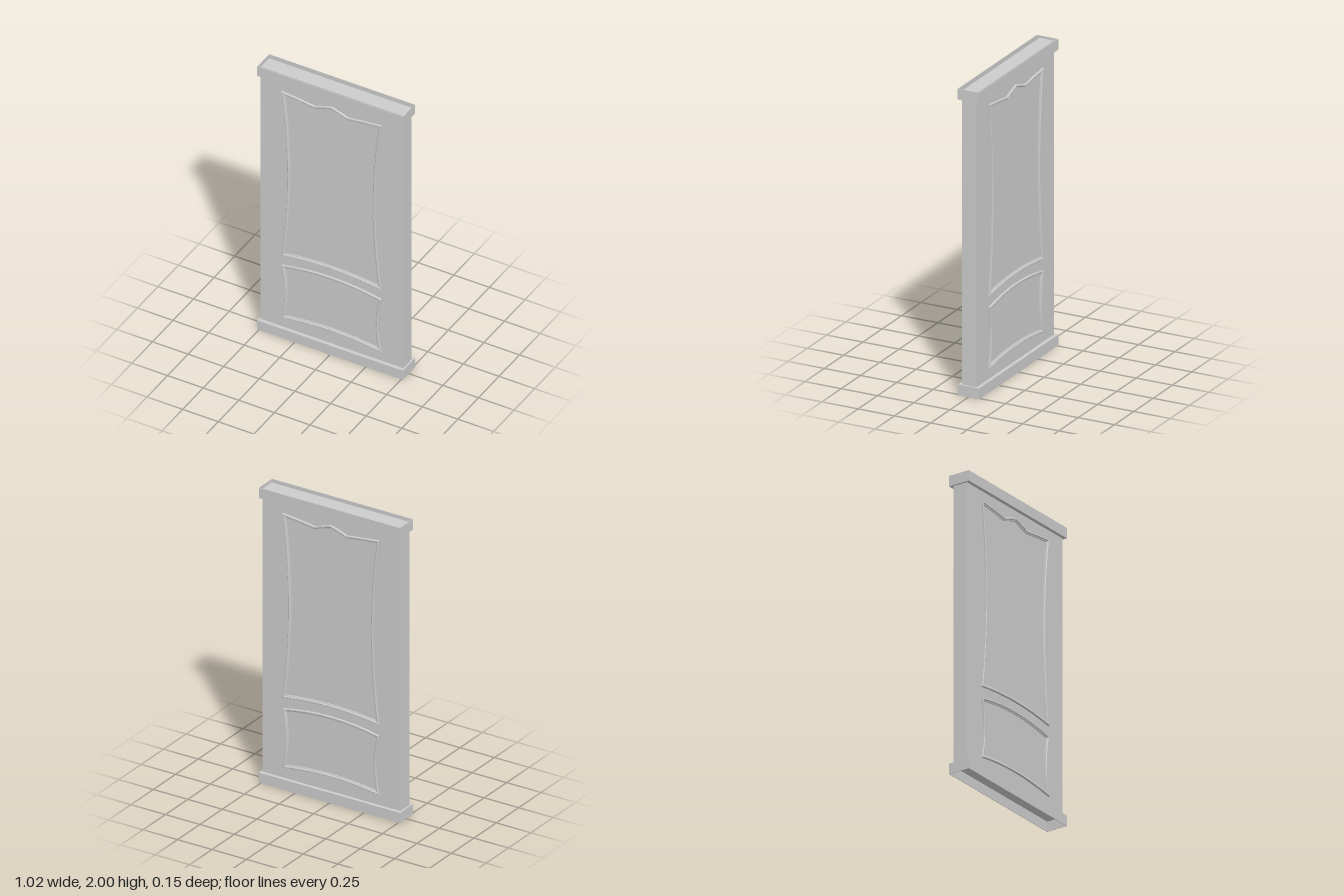
import * as THREE from 'three';

const material = new THREE.MeshStandardMaterial({ color: 0xcccccc, flatShading: true, side: THREE.DoubleSide });

function add(parent, name, geometry, x = 0, y = 0, z = 0) {
  const mesh = new THREE.Mesh(geometry, material);
  mesh.name = name;
  mesh.position.set(x, y, z);
  parent.add(mesh);
  return mesh;
}

// Point on a shallow bow from a to b that passes through m at its middle
function bow(a, m, b, steps) {
  const points = [];
  for (let i = 0; i < steps; i++) {
    const t = i / steps, w = 4 * t * (1 - t);
    points.push([0, 1].map(k => {
      const line = a[k] + (b[k] - a[k]) * t;
      return line + w * (m[k] - (a[k] + b[k]) / 2);
    }));
  }
  return points;
}

// Shift a counter-clockwise outline inwards with mitred corners
function inset(outline, d) {
  const n = outline.length;
  const normal = (a, b) => new THREE.Vector2(a[1] - b[1], b[0] - a[0]).normalize();
  return outline.map((p, i) => {
    const n1 = normal(outline[(i + n - 1) % n], p);
    const n2 = normal(p, outline[(i + 1) % n]);
    const k = d / (1 + n1.dot(n2));
    return [p[0] + (n1.x + n2.x) * k, p[1] + (n1.y + n2.y) * k];
  });
}

// Moulding swept round an outline: each profile step is [inset, z]
function moulding(outline) {
  const profile = [[0, 0.048], [0, 0.059], [0.003, 0.062], [0.009, 0.062], [0.013, 0.057], [0.02, 0.055], [0.021, 0.048]];
  const n = outline.length, positions = [], index = [];
  for (const [d, z] of profile) for (const [x, y] of inset(outline, d)) positions.push(x, y, z);
  for (let r = 0; r < profile.length - 1; r++) {
    for (let i = 0; i < n; i++) {
      const a = r * n + i, b = r * n + (i + 1) % n;
      index.push(a, b, b + n, a, b + n, a + n);
    }
  }
  const geometry = new THREE.BufferGeometry();
  geometry.setAttribute('position', new THREE.Float32BufferAttribute(positions, 3));
  geometry.setIndex(index);
  geometry.computeVertexNormals();
  return geometry;
}

// Rectangular ring lying flat, with its underside at y = 0
function ring(outerX, outerZ, innerX, innerZ, height) {
  const rect = (path, x, z) => path.moveTo(-x, -z).lineTo(x, -z).lineTo(x, z).lineTo(-x, z).closePath();
  const shape = rect(new THREE.Shape(), outerX, outerZ);
  shape.holes.push(rect(new THREE.Path(), innerX, innerZ));
  return new THREE.ExtrudeGeometry(shape, { depth: height, bevelEnabled: false }).rotateX(-Math.PI / 2);
}

export function createModel() {
  const model = new THREE.Group();
  model.name = 'panelledDoor';

  // Door slab
  const bottom = 0.065, top = 1.988;
  add(model, 'slab', new THREE.BoxGeometry(1, top - bottom, 0.1), 0, (top + bottom) / 2, 0);

  // Hollow trims: thin outer wall plus a ledge meeting the slab
  for (const [name, y, ledgeY] of [['bottomTrim', 0, 0.067], ['topTrim', 1.93, 1.93]]) {
    const trim = new THREE.Group();
    trim.name = name;
    add(trim, name + 'Wall', ring(0.512, 0.074, 0.509, 0.071, 0.07), 0, y, 0);
    add(trim, name + 'Ledge', ring(0.511, 0.073, 0.5, 0.05, 0.003), 0, ledgeY, 0);
    model.add(trim);
  }

  // Outlines, counter-clockwise from the lower left corner
  const upper = [
    ...bow([-0.35, 0.614], [0, 0.641], [0.35, 0.614], 8),
    ...bow([0.35, 0.614], [0.308, 1.24], [0.35, 1.863], 12),
    ...bow([0.35, 1.863], [0.23, 1.851], [0.115, 1.836], 2),
    ...bow([0.115, 1.836], [0.06, 1.857], [0, 1.874], 3),
    ...bow([0, 1.874], [-0.06, 1.857], [-0.115, 1.836], 3),
    ...bow([-0.115, 1.836], [-0.23, 1.851], [-0.35, 1.863], 2),
    ...bow([-0.35, 1.863], [-0.308, 1.24], [-0.35, 0.614], 12),
  ];
  const lower = [
    ...bow([-0.35, 0.14], [0, 0.169], [0.35, 0.14], 8),
    ...bow([0.35, 0.14], [0.328, 0.34], [0.35, 0.541], 8),
    ...bow([0.35, 0.541], [0, 0.579], [-0.35, 0.541], 8),
    ...bow([-0.35, 0.541], [-0.328, 0.34], [-0.35, 0.14], 8),
  ];

  // The same mouldings on both faces
  for (const [side, angle] of [['front', 0], ['back', Math.PI]]) {
    add(model, side + 'UpperMoulding', moulding(upper)).rotation.y = angle;
    add(model, side + 'LowerMoulding', moulding(lower)).rotation.y = angle;
  }
  return model;
}
